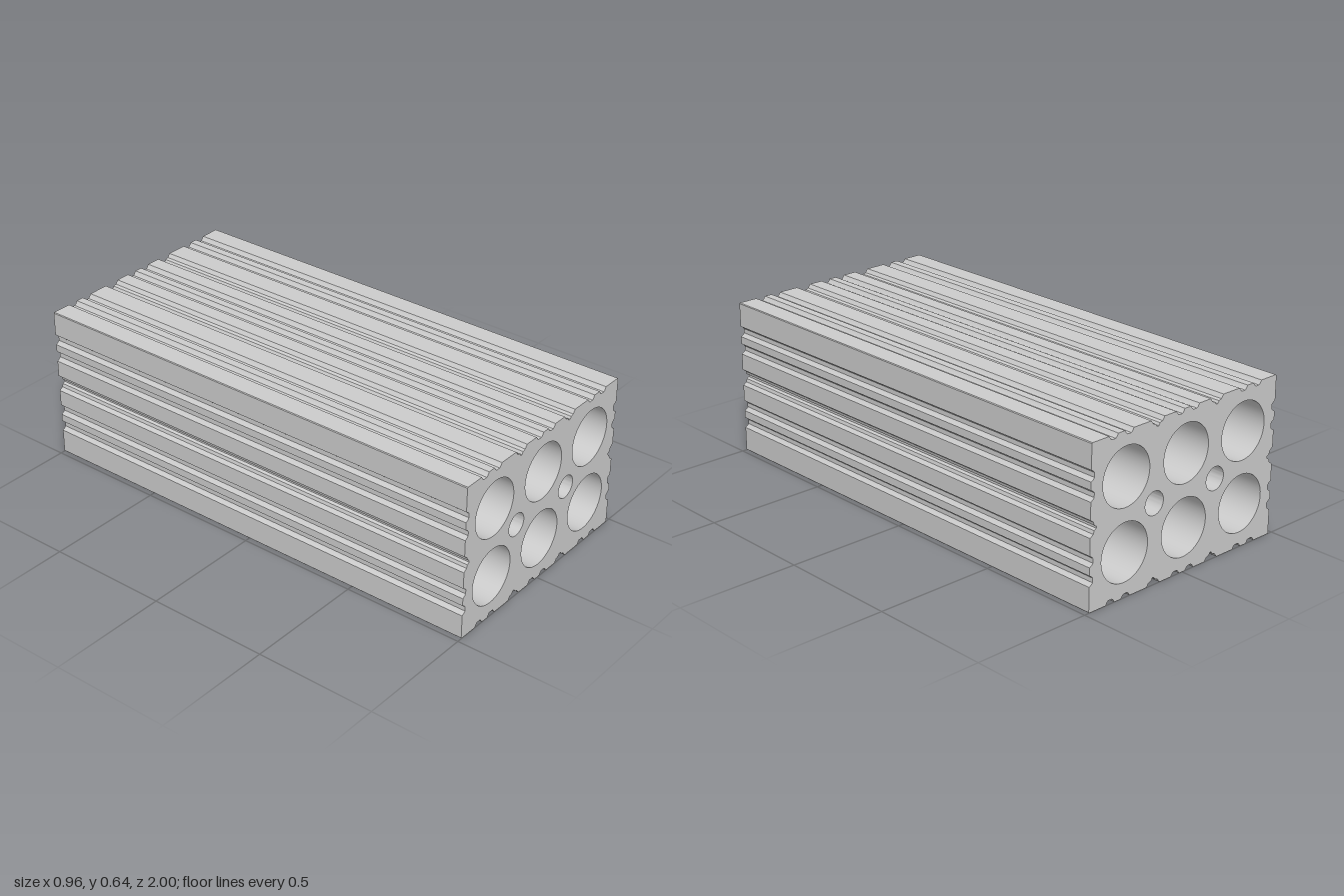
import * as THREE from 'three';
import { toCreasedNormals } from 'three/addons/utils/BufferGeometryUtils.js';

const W = 0.96, H = 0.643, LENGTH = 2;

// Groove cross-sections as [offset along the edge, depth]
const SMALL = [[-0.022, 0], [-0.015, 0.011], [-0.009, 0.016], [0.009, 0.016], [0.015, 0.011], [0.022, 0]];
const DEEP = [[-0.034, 0], [-0.023, 0.015], [-0.01, 0.019], [-0.004, 0.029],
  [0.004, 0.029], [0.01, 0.019], [0.023, 0.015], [0.034, 0]];

// Groove centres measured from the middle of each face
const WIDE_FACE = [[-0.374, SMALL], [-0.297, SMALL], [-0.154, DEEP], [-0.038, SMALL],
  [0.038, SMALL], [0.154, DEEP], [0.297, SMALL], [0.374, SMALL]];
const SIDE_FACE = [[-0.199, SMALL], [-0.124, SMALL], [0, DEEP], [0.124, SMALL], [0.199, SMALL]];

// One grooved face, walked counter-clockwise around the block
function facePoints(angle, halfLength, halfDepth, grooves) {
  const chamfer = 0.003;
  const local = [[-halfLength + chamfer, 0]];
  for (const [centre, profile] of grooves) {
    for (const [u, d] of profile) local.push([centre + u, d]);
  }
  local.push([halfLength - chamfer, 0]);
  return local.map(([u, d]) => new THREE.Vector2(u, d - halfDepth)
    .rotateAround(new THREE.Vector2(), angle).add(new THREE.Vector2(0, H / 2)));
}

function addHole(shape, x, y, r) {
  const hole = new THREE.Path();
  hole.absarc(x, y, r, 0, Math.PI * 2, true);
  shape.holes.push(hole);
}

export function createModel() {
  const group = new THREE.Group();
  group.name = 'ductBlock';

  // Grooved rectangular outline
  const shape = new THREE.Shape([
    ...facePoints(0, W / 2, H / 2, WIDE_FACE),
    ...facePoints(Math.PI / 2, H / 2, W / 2, SIDE_FACE),
    ...facePoints(Math.PI, W / 2, H / 2, WIDE_FACE),
    ...facePoints(-Math.PI / 2, H / 2, W / 2, SIDE_FACE),
  ]);

  // Six large bores and two small ones between them
  for (const x of [-0.306, 0, 0.306]) {
    for (const y of [0.178, 0.468]) addHole(shape, x, y, 0.117);
  }
  for (const x of [-0.16, 0.16]) addHole(shape, x, 0.322, 0.047);

  const extruded = new THREE.ExtrudeGeometry(shape, { depth: LENGTH, bevelEnabled: false, curveSegments: 24 });
  extruded.translate(0, 0, -LENGTH / 2);
  const block = new THREE.Mesh(toCreasedNormals(extruded, 0.4),
    new THREE.MeshStandardMaterial({ color: 0xcccccc }));
  block.name = 'groovedBlock';
  group.add(block);
  return group;
}
